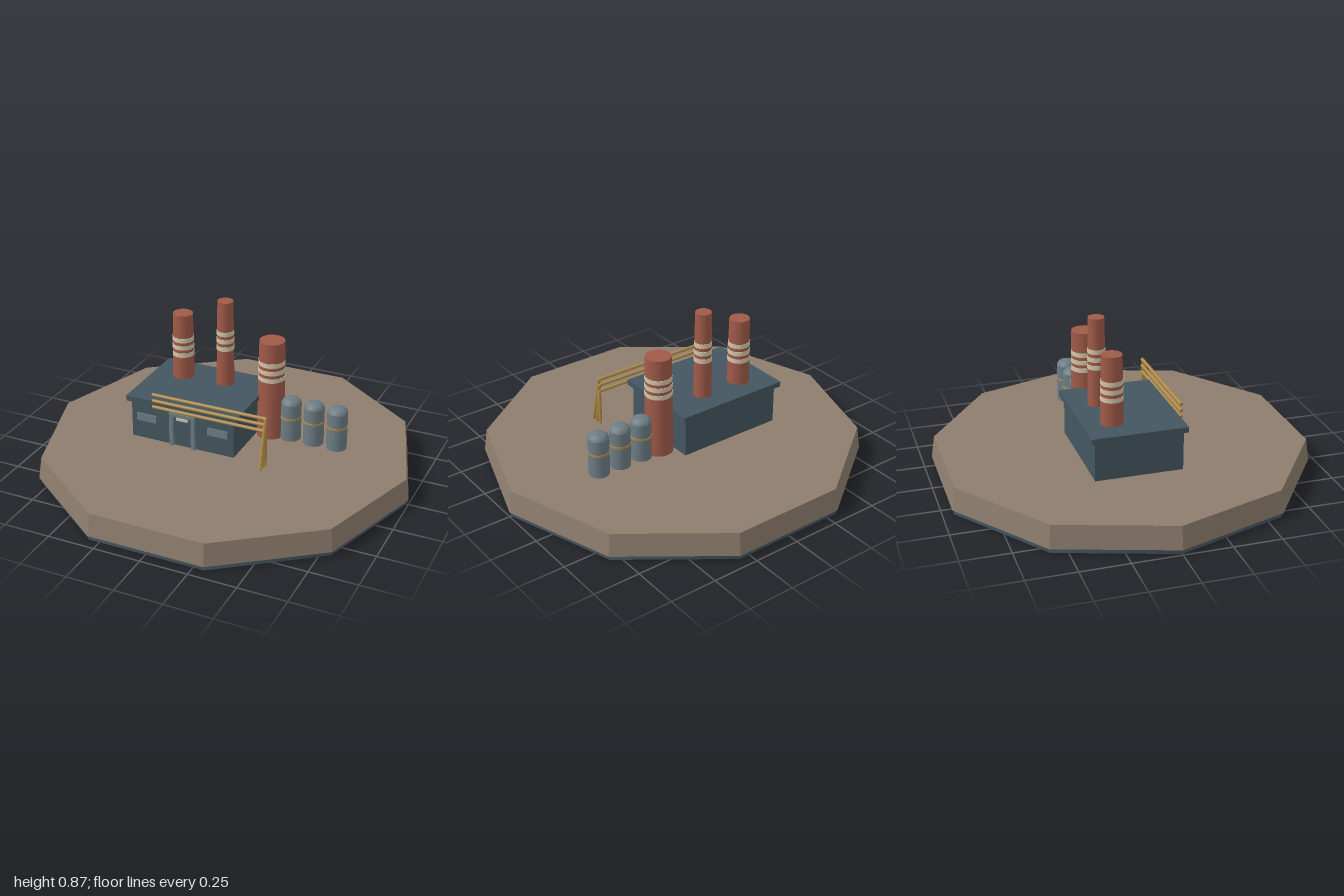
import * as THREE from 'three';

const mat = (name, color, extra = {}) => {
  const m = new THREE.MeshStandardMaterial({ color, ...extra });
  m.name = name;
  return m;
};

export function createModel() {
  const earth = mat('earth brown', 0x8d7d6d, { flatShading: true });
  const slate = mat('slate blue', 0x445660);
  const steel = mat('steel grey', 0x6c7c84);
  const brick = mat('brick red', 0xa05a48);
  const cream = mat('cream', 0xd2c5aa);
  const brass = mat('brass', 0xb08c48);

  const model = new THREE.Group();
  model.name = 'factoryIsland';

  const add = (parent, name, geometry, material, x = 0, y = 0, z = 0) => {
    const mesh = new THREE.Mesh(geometry, material);
    mesh.name = name;
    mesh.position.set(x, y, z);
    parent.add(mesh);
    return mesh;
  };
  const group = (name) => {
    const g = new THREE.Group();
    g.name = name;
    model.add(g);
    return g;
  };
  // Box given by its min and max corners
  const box = (parent, name, material, [x0, y0, z0], [x1, y1, z1]) =>
    add(parent, name, new THREE.BoxGeometry(x1 - x0, y1 - y0, z1 - z0), material,
      (x0 + x1) / 2, (y0 + y1) / 2, (z0 + z1) / 2);

  // Ten-sided ground slab on a thin plate, corners on the x axis
  const base = group('base');
  base.rotation.y = Math.PI / 10;
  add(base, 'ground', new THREE.CylinderGeometry(0.982, 1, 0.119, 10), earth, 0, 0.0845, 0);
  add(base, 'bottomPlate', new THREE.CylinderGeometry(0.99, 0.99, 0.025, 10), slate, 0, 0.0125, 0);

  // Main hall with overhanging flat roof
  const hall = group('hall');
  const floor = 0.158;
  box(hall, 'walls', slate, [-0.467, floor, -0.268], [0.117, 0.37, 0.188]);
  box(hall, 'roof', slate, [-0.49, 0.367, -0.29], [0.14, 0.396, 0.206]);

  // Framed door with a sign strip
  box(hall, 'doorJamb', steel, [-0.243, floor, 0.185], [-0.222, 0.347, 0.205]);
  box(hall, 'doorJamb', steel, [-0.119, floor, 0.185], [-0.098, 0.347, 0.205]);
  box(hall, 'doorLintel', steel, [-0.222, 0.33, 0.185], [-0.119, 0.347, 0.205]);
  box(hall, 'doorSurround', steel, [-0.222, floor, 0.186], [-0.119, 0.33, 0.192]);
  box(hall, 'door', slate, [-0.218, 0.165, 0.19], [-0.123, 0.328, 0.197]);
  box(hall, 'doorSign', cream, [-0.202, 0.31, 0.196], [-0.138, 0.326, 0.202]);
  for (const x of [-0.38, 0.027]) {
    box(hall, 'window', steel, [x - 0.056, 0.26, 0.186], [x + 0.056, 0.302, 0.195]);
  }

  // Tapered stacks, each with three pale bands
  const stacks = [
    { x: -0.325, z: -0.14, y0: 0.39, y1: 0.758, r0: 0.059, r1: 0.053, band: 0.618 },
    { x: -0.083, z: -0.148, y0: 0.39, y1: 0.866, r0: 0.048, r1: 0.042, band: 0.692 },
    { x: 0.187, z: -0.136, y0: floor, y1: 0.7, r0: 0.075, r1: 0.067, band: 0.581 },
  ];
  for (const s of stacks) {
    const g = group('smokestack');
    const h = s.y1 - s.y0;
    add(g, 'stackShaft', new THREE.CylinderGeometry(s.r1, s.r0, h, 20), brick, s.x, s.y0 + h / 2, s.z);
    const radius = (y) => s.r0 + (s.r1 - s.r0) * (y - s.y0) / h + 0.002;
    for (let i = 0; i < 3; i++) {
      const y = s.band - i * 0.042;
      add(g, 'stackBand', new THREE.CylinderGeometry(radius(y + 0.012), radius(y - 0.012), 0.024, 20),
        cream, s.x, y, s.z);
    }
  }

  // Domed storage tanks with a brass hoop
  const dome = [[0, 0], [0.054, 0], [0.054, 0.206], [0.05, 0.217], [0.04, 0.227], [0.023, 0.233], [0, 0.235]];
  for (let i = 0; i < 3; i++) {
    const g = group('tank');
    g.position.set(0.3 + i * 0.128, floor, -0.138);
    const lower = dome.slice(0, 2), side = dome.slice(1, 3), upper = dome.slice(2);
    for (const [name, part] of [['tankBottom', lower], ['tankSide', side], ['tankDome', upper]]) {
      add(g, name, new THREE.LatheGeometry(part.map(([r, y]) => new THREE.Vector2(r, y)), 20), steel);
    }
    add(g, 'tankHoop', new THREE.CylinderGeometry(0.057, 0.057, 0.01, 20), brass, 0, 0.128, 0);
  }

  // Brass pipes running along the front, each bending down to a splayed leg
  const pipes = group('pipes');
  const rod = (name, a, b) => {
    const dir = b.clone().sub(a);
    const mesh = add(pipes, name, new THREE.CylinderGeometry(0.009, 0.009, dir.length(), 10), brass);
    mesh.position.copy(a).add(b).multiplyScalar(0.5);
    mesh.quaternion.setFromUnitVectors(new THREE.Vector3(0, 1, 0), dir.normalize());
  };
  [[0.445, 0.285], [0.41, 0.254], [0.375, 0.223]].forEach(([y, footZ]) => {
    const corner = new THREE.Vector3(0.306, y, 0.224);
    rod('pipeRun', new THREE.Vector3(-0.325, y, 0.224), corner);
    rod('pipeLeg', corner, new THREE.Vector3(0.306, 0.183, footZ));
    add(pipes, 'pipeElbow', new THREE.SphereGeometry(0.0095, 10, 8), brass, corner.x, corner.y, corner.z);
  });

  return model;
}
